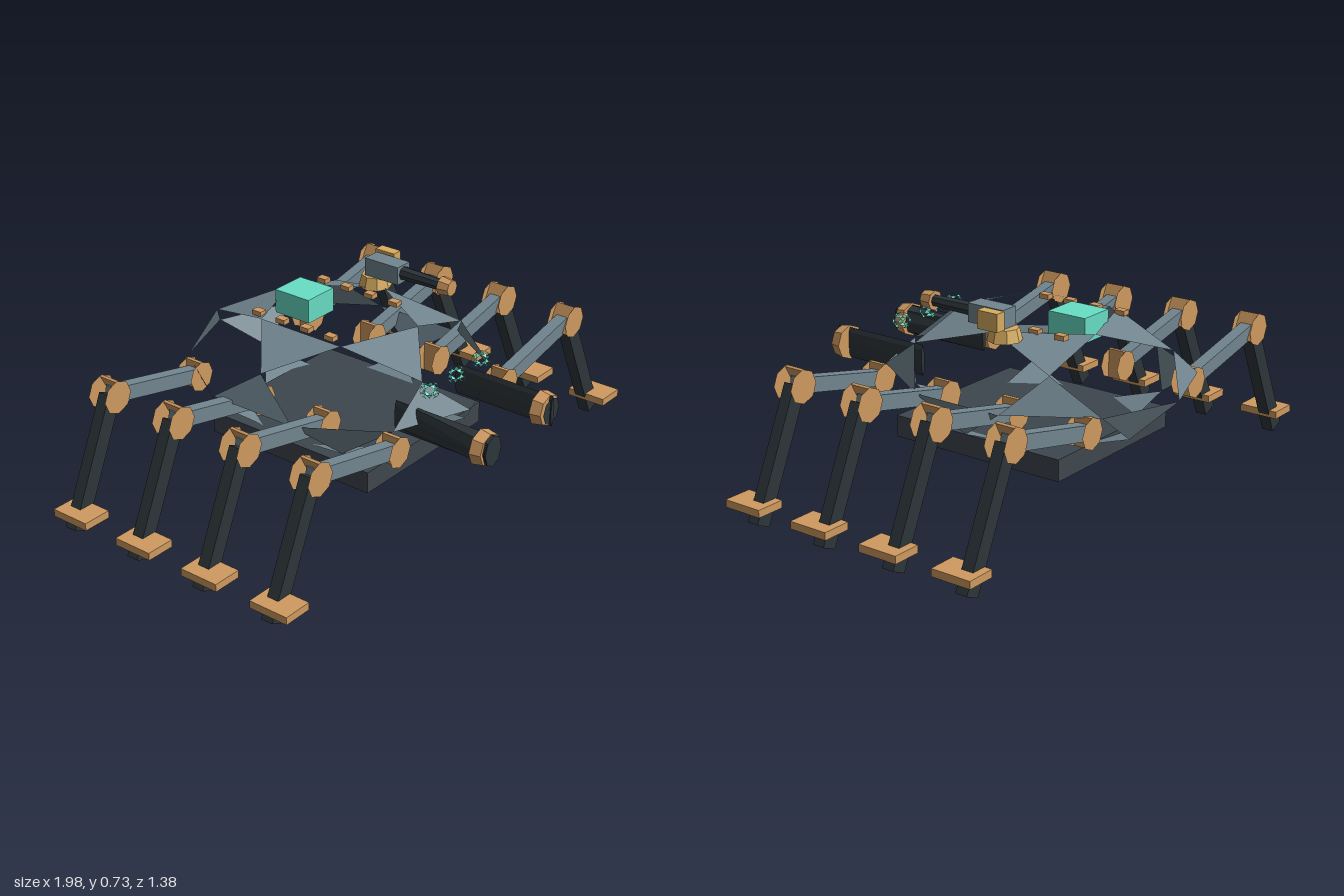
import * as THREE from 'three';
import { mergeGeometries } from 'three/addons/utils/BufferGeometryUtils.js';

const mat = (color) => new THREE.MeshStandardMaterial({ color, flatShading: true, side: THREE.DoubleSide });
const armour = mat(0x728690), steel = mat(0x3e474e), dark = mat(0x2e363b);
const bronze = mat(0xd09a60), brass = mat(0xd9ae62), teal = mat(0x68dec5);

export function createModel() {
  const model = new THREE.Group();

  const add = (name, geometry, material, x, y, z, parent = model) => {
    const mesh = new THREE.Mesh(geometry, material);
    mesh.name = name;
    mesh.position.set(x, y, z);
    parent.add(mesh);
    return mesh;
  };
  const box = (name, w, h, d, material, x, y, z, parent) =>
    add(name, new THREE.BoxGeometry(w, h, d), material, x, y, z, parent);
  // Cylinder lying along z; r1 is the front radius
  const tubeZ = (name, r1, r2, length, material, x, y, z, parent) =>
    add(name, new THREE.CylinderGeometry(r1, r2, length, 8).rotateX(Math.PI / 2), material, x, y, z, parent);
  // Bar between two points in the xy plane
  const bar = (name, a, b, thick, depth, material, z, parent) => {
    const dx = b[0] - a[0], dy = b[1] - a[1];
    const mesh = box(name, Math.hypot(dx, dy), thick, depth, material, (a[0] + b[0]) / 2, (a[1] + b[1]) / 2, z, parent);
    mesh.rotation.z = Math.atan2(dy, dx);
    return mesh;
  };
  // Pair of octagonal cheek plates
  const cheeks = (name, r, depth, x, y, parent) => add(name, mergeGeometries([
    new THREE.CircleGeometry(r, 8).translate(0, 0, depth / 2),
    new THREE.CircleGeometry(r, 8).rotateY(Math.PI).translate(0, 0, -depth / 2),
  ]), bronze, x, y, 0, parent);

  // Open shell: the middle panel of each face of a subdivided icosahedron
  function openShell(rx, ry, rz) {
    const ring = (y, start) => Array.from({ length: 5 }, (_, k) => {
      const a = start + k * Math.PI * 0.4, r = Math.sqrt(1 - y * y);
      return new THREE.Vector3(r * Math.sin(a), y, r * Math.cos(a));
    });
    const h = 1 / Math.sqrt(5);
    const up = ring(h, Math.PI / 2), low = ring(-h, Math.PI * 0.7);
    const north = new THREE.Vector3(0, 1, 0), south = new THREE.Vector3(0, -1, 0);
    const points = [];
    for (let k = 0; k < 5; k++) {
      const n = (k + 1) % 5;
      const faces = [
        [north, up[k], up[n]], [up[k], low[k], up[n]],
        [low[k], low[n], up[n]], [south, low[n], low[k]],
      ];
      for (const f of faces) {
        for (let i = 0; i < 3; i++) {
          points.push(f[i].clone().add(f[(i + 1) % 3]).normalize());
        }
      }
    }
    const geometry = new THREE.BufferGeometry().setFromPoints(points);
    geometry.scale(rx, ry, rz);
    geometry.computeVertexNormals();
    return geometry;
  }

  // Body
  add('hullPanels', openShell(0.5, 0.235, 0.58), armour, 0, 0.42, -0.11);
  box('chassis', 0.66, 0.08, 0.71, steel, 0, 0.21, -0.075);
  box('roofModule', 0.14, 0.09, 0.155, teal, 0.003, 0.62, -0.273);
  for (const x of [-0.18, 0.18]) {
    for (let i = 0; i < 4; i++) box('rivet', 0.03, 0.018, 0.04, bronze, x, 0.623, -0.33 + i * 0.11);
  }
  for (const x of [-0.15, 0, 0.15]) {
    add('sensor', openShell(0.038, 0.03, 0.034), teal, x, 0.535, 0.405);
  }

  // Front cannons: flattened barrels, the right one widening towards the muzzle
  for (const [x, frontScale] of [[-0.18, 0.8], [0.175, 0.16]]) {
    const cannon = new THREE.Group();
    cannon.name = 'cannon';
    cannon.position.set(x, 0.413, 0);
    model.add(cannon);
    const barrel = new THREE.CylinderGeometry(0.058, 0.058, 0.405, 8).rotateX(Math.PI / 2);
    const p = barrel.attributes.position;
    for (let i = 0; i < p.count; i++) p.setX(i, p.getX(i) * (p.getZ(i) > 0 ? frontScale : 0.16));
    add('barrel', barrel, dark, 0, 0, 0.488, cannon);
    add('barrelEnd', new THREE.CircleGeometry(0.05, 8), dark, 0, 0, 0.685, cannon);
    tubeZ('muzzleRing', 0.058, 0.066, 0.042, bronze, 0, 0, 0.657, cannon);
  }

  // Roof gun
  const turret = new THREE.Group();
  turret.name = 'roofGun';
  turret.position.set(0.285, 0, 0);
  model.add(turret);
  add('turretBase', new THREE.CylinderGeometry(0.05, 0.062, 0.045, 8), brass, 0, 0.632, -0.17, turret);
  box('gunBody', 0.07, 0.068, 0.15, armour, 0, 0.69, -0.115, turret);
  box('ammoBox', 0.04, 0.065, 0.085, brass, 0.07, 0.695, -0.165, turret);
  tubeZ('gunBarrel', 0.02, 0.026, 0.22, dark, 0, 0.692, 0.065, turret);
  tubeZ('gunMuzzle', 0.03, 0.036, 0.045, bronze, 0, 0.692, 0.155, turret);

  // Four legs on each side
  for (const s of [-1, 1]) {
    for (let i = 0; i < 4; i++) {
      const leg = new THREE.Group();
      leg.name = s > 0 ? 'leftLeg' : 'rightLeg';
      leg.position.z = 0.375 - i * 0.3;
      model.add(leg);
      const hip = [0.32 * s, 0.37], knee = [0.74 * s, 0.46], ankle = [0.942 * s, 0.015];
      cheeks('hipCheeks', 0.058, 0.07, ...hip, leg);
      box('hipWeb', 0.014, 0.11, 0.07, bronze, 0.318 * s, 0.37, 0, leg);
      bar('upperLeg', hip, knee, 0.055, 0.046, armour, 0, leg);
      cheeks('kneeCheeks', 0.062, 0.078, ...knee, leg);
      bar('kneeWeb', [0.69 * s, 0.425], [0.74 * s, 0.52], 0.01, 0.076, bronze, 0, leg);
      bar('lowerLeg', knee, ankle, 0.06, 0.046, dark, 0, leg);
      box('foot', 0.11, 0.028, 0.155, bronze, 0.935 * s, 0.083, 0.025, leg);
    }
  }
  return model;
}
